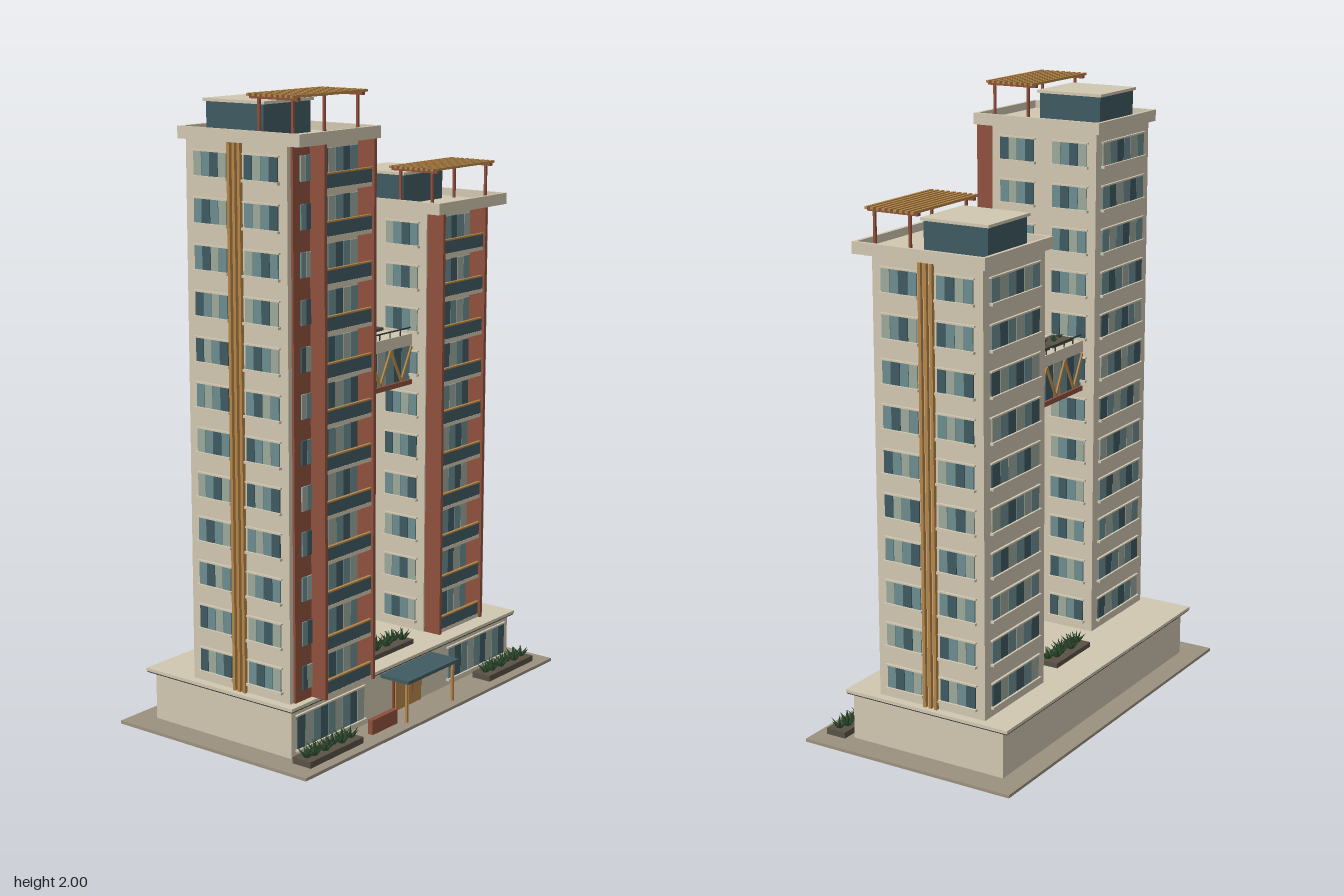
import * as THREE from 'three';
import { mergeGeometries } from 'three/addons/utils/BufferGeometryUtils.js';

const mat = (name, color) => {
  const m = new THREE.MeshStandardMaterial({ color });
  m.name = name;
  return m;
};
const M = {
  cream: mat('cream render', 0xd0c7b0),
  paving: mat('paving', 0x9c917f),
  brick: mat('brick', 0x8f503c),
  dark: mat('dark glass', 0x405a62),
  mid: mat('mid glass', 0x6c8c8e),
  light: mat('pale glass', 0x9ba89c),
  wood: mat('timber', 0xb58547),
  metal: mat('dark metal', 0x363c3b),
  planter: mat('planter', 0x5a5146),
  leaf: mat('foliage', 0x2c4a2e),
};
const GLASS = [M.dark, M.light, M.mid, M.dark, M.mid, M.light, M.mid];

function group(parent, name, x = 0, y = 0, z = 0) {
  const g = new THREE.Group();
  g.name = name;
  g.position.set(x, y, z);
  parent.add(g);
  return g;
}

// Box given by its limits on each axis, in any order
function box(parent, name, m, x0, x1, y0, y1, z0, z1) {
  const geo = new THREE.BoxGeometry(Math.abs(x1 - x0), Math.abs(y1 - y0), Math.abs(z1 - z0));
  const mesh = new THREE.Mesh(geo, m);
  mesh.position.set((x0 + x1) / 2, (y0 + y1) / 2, (z0 + z1) / 2);
  mesh.name = name;
  parent.add(mesh);
  return mesh;
}

// Row of glass panes facing +z, centred on x, standing on y = 0
function panes(parent, w, h, n, seed, sill = true) {
  const step = w / n;
  for (let i = 0; i < n; i++) {
    const x = -w / 2 + i * step;
    box(parent, 'pane', GLASS[(i + seed) % GLASS.length], x + 0.001, x + step - 0.001, 0, h, 0, 0.005);
  }
  if (sill) {
    box(parent, 'sill', M.cream, -w / 2 - 0.005, w / 2 + 0.005, -0.008, 0, 0, 0.012);
    box(parent, 'windowHead', M.cream, -w / 2 - 0.005, w / 2 + 0.005, h, h + 0.005, 0, 0.008);
  }
}

// Planter box filled with tufts of pointed leaves
function planter(parent, x, y, z, w, d, h, leafH) {
  const g = group(parent, 'planter', x, y, z);
  box(g, 'planterBox', M.planter, -w / 2, w / 2, 0, h, -d / 2, d / 2);
  const leaves = [];
  const tufts = Math.max(4, Math.round(w / 0.03));
  for (let t = 0; t < tufts; t++) {
    const tx = ((t + 0.5) / tufts - 0.5) * w * 0.9;
    const tz = Math.sin(t * 2.4) * d * 0.14;
    for (let k = 0; k < 7; k++) {
      const leaf = new THREE.ConeGeometry(leafH * 0.17, leafH, 4);
      leaf.translate(0, leafH / 2, 0);
      leaf.rotateZ(k === 0 ? 0 : 0.75);
      leaf.rotateY(k * 1.05 + t);
      leaf.translate(tx, h - 0.002, tz);
      leaves.push(leaf);
    }
  }
  const plants = new THREE.Mesh(mergeGeometries(leaves), M.leaf);
  plants.name = 'plants';
  g.add(plants);
}

// Tower: s is the outer side (+1 or -1), cz the middle of its body
function tower(root, name, s, cz, floors) {
  const FH = 0.14, HW = 0.173, HD = 0.194;
  const g = group(root, name, s * 0.398, 0.178, cz);
  const H = floors * FH;
  box(g, 'body', M.cream, -HW, HW, 0, H, -HD, HD);

  // Brick strip and the two fins that frame the balconies
  box(g, 'brickStrip', M.brick, s * 0.08, s * 0.157, 0, H, HD, HD + 0.008);
  box(g, 'outerFin', M.brick, s * 0.068, s * 0.08, 0, H, HD, HD + 0.062);
  box(g, 'innerFin', M.brick, s * -0.168, s * -0.156, 0, H, HD, HD + 0.062);

  // Timber battens on the outer side
  for (const z of [-0.02, 0, 0.02])
    box(g, 'batten', M.wood, s * HW, s * (HW + 0.012), 0, H, z - 0.005, z + 0.005);

  for (let f = 0; f < floors; f++) {
    const y = f * FH;
    for (const side of [-1, 1])
      for (const k of [-1, 1]) {
        const w = group(g, 'sideWindow', side * HW, y + 0.034, k * 0.098);
        w.rotation.y = side * Math.PI / 2;
        panes(w, 0.128, 0.072, 4, f * 3 + k + 1);
      }
    const back = group(g, 'backWindow', 0, y + 0.034, -HD);
    back.rotation.y = Math.PI;
    panes(back, 0.27, 0.072, 6, f * 2);
    panes(group(g, 'stripWindow', s * 0.104, y + 0.034, HD + 0.008), 0.046, 0.075, 2, f * 2, false);

    // Balcony
    const b = group(g, 'balcony', s * -0.044, y, HD);
    panes(group(b, 'balconyGlazing', 0, 0.012, 0), 0.216, 0.108, 6, f * 3 + 1, false);
    box(b, 'balconySlab', M.cream, -0.112, 0.112, 0, 0.012, 0, 0.054);
    box(b, 'balustrade', M.dark, -0.112, 0.112, 0.012, 0.052, 0.048, 0.053);
    box(b, 'handrail', M.wood, -0.112, 0.112, 0.052, 0.057, 0.046, 0.056);
  }

  // Roof slab and parapet
  const X = 0.19, Z0 = -0.212, Z1 = 0.255, P = 0.012;
  box(g, 'roof', M.cream, -X, X, H, H + 0.012, Z0, Z1);
  for (const k of [-1, 1]) box(g, 'parapetSide', M.cream, k * X, k * (X - P), H + 0.012, H + 0.037, Z0, Z1);
  box(g, 'parapetBack', M.cream, -X + P, X - P, H + 0.012, H + 0.037, Z0, Z0 + P);
  box(g, 'parapetFront', M.cream, -X + P, X - P, H + 0.012, H + 0.037, Z1 - P, Z1);

  // Glazed roof room
  box(g, 'roofRoom', M.dark, -0.108, 0.108, H + 0.012, H + 0.107, -0.17, 0.053);
  box(g, 'roofRoomCap', M.cream, -0.115, 0.115, H + 0.107, H + 0.116, -0.177, 0.06);

  // Pergola
  const p = group(g, 'pergola', 0, H, 0.13);
  for (const x of [-0.15, 0.15]) {
    for (const z of [-0.058, 0.068]) box(p, 'post', M.brick, x - 0.004, x + 0.004, 0.012, 0.131, z - 0.004, z + 0.004);
    box(p, 'beam', M.brick, x - 0.007, x + 0.007, 0.127, 0.136, -0.09, 0.09);
  }
  for (let i = 0; i < 9; i++) {
    const z = -0.082 + i * 0.0205;
    box(p, 'slat', M.wood, -0.174, 0.174, 0.135, 0.143, z - 0.005, z + 0.005);
  }
}

// Enclosed bridge between the towers with timber trusses and a roof garden
function bridge(root) {
  const g = group(root, 'skyBridge', 0, 1.015, -0.005);
  const L = 0.226, D = 0.1, N = 8;
  box(g, 'bridgeFloor', M.brick, -L, L, 0, 0.016, -D - 0.004, D + 0.004);
  box(g, 'bridgeCore', M.dark, -L, L, 0.016, 0.13, -D + 0.006, D - 0.006);
  box(g, 'bridgeRoof', M.cream, -L, L, 0.13, 0.168, -D - 0.004, D + 0.004);
  for (const k of [-1, 1]) {
    const side = group(g, 'bridgeSide', 0, 0, k * (D - 0.006));
    side.rotation.y = k > 0 ? 0 : Math.PI;
    panes(group(side, 'bridgeGlazing', 0, 0.018, 0), 2 * L - 0.01, 0.11, 10, 2, false);
    const step = 2 * L / N, rise = 0.108;
    for (let i = 0; i < N; i++) {
      const bar = box(side, 'trussBar', M.wood, -0.004, 0.004, -0.06, 0.06, 0.004, 0.011);
      bar.position.x = -L + (i + 0.5) * step;
      bar.position.y = 0.073;
      bar.rotation.z = (i % 2 ? -1 : 1) * Math.atan2(step, rise);
    }
    box(g, 'roofRail', M.metal, -L, L, 0.186, 0.19, k * D - 0.002, k * D + 0.002);
    for (let i = 0; i <= 8; i++) {
      const x = -L + 0.004 + i * (2 * L - 0.008) / 8;
      box(g, 'railPost', M.metal, x - 0.0015, x + 0.0015, 0.168, 0.186, k * D - 0.0015, k * D + 0.0015);
    }
  }
  for (const x of [-0.146, 0, 0.146]) planter(g, x, 0.168, -0.038, 0.125, 0.075, 0.01, 0.02);
}

function podium(root) {
  const g = group(root, 'podium');
  box(g, 'ground', M.paving, -0.67, 0.67, 0, 0.01, -0.38, 0.377);
  box(g, 'podiumWalls', M.cream, -0.582, 0.582, 0.01, 0.166, -0.305, 0.25);
  box(g, 'podiumRoof', M.cream, -0.6, 0.6, 0.168, 0.178, -0.33, 0.267);
  box(g, 'roofEdge', M.metal, -0.598, 0.598, 0.164, 0.168, -0.328, 0.265);
  for (const s of [-1, 1]) {
    panes(group(g, 'shopWindow', s * 0.393, 0.035, 0.25), 0.33, 0.105, 9, s + 1);
    planter(g, s * 0.475, 0.01, 0.307, 0.26, 0.07, 0.02, 0.042);
  }
  for (const z of [-0.175, 0.16]) planter(g, 0, 0.178, z, 0.215, 0.078, 0.016, 0.045);

  // Entrance: timber doors, canopy and low wall beside it
  box(g, 'doorFrame', M.brick, -0.076, 0.076, 0.01, 0.14, 0.25, 0.255);
  for (const s of [-1, 1]) {
    box(g, 'door', M.wood, s * 0.003, s * 0.068, 0.012, 0.132, 0.255, 0.26);
    box(g, 'doorPanel', M.brick, s * 0.012, s * 0.016, 0.05, 0.09, 0.26, 0.264);
    box(g, 'canopyPost', M.wood, s * 0.125 - 0.004, s * 0.125 + 0.004, 0.01, 0.142, 0.34, 0.348);
  }
  box(g, 'canopy', M.dark, -0.138, 0.138, 0.142, 0.153, 0.25, 0.36);
  box(g, 'lowWall', M.brick, -0.277, -0.148, 0.01, 0.058, 0.307, 0.325);
}

export function createModel() {
  const root = new THREE.Group();
  root.name = 'twinTowers';
  podium(root);
  tower(root, 'tallTower', -1, 0.0425, 12);
  tower(root, 'shortTower', 1, -0.04, 10);
  bridge(root);
  return root;
}
